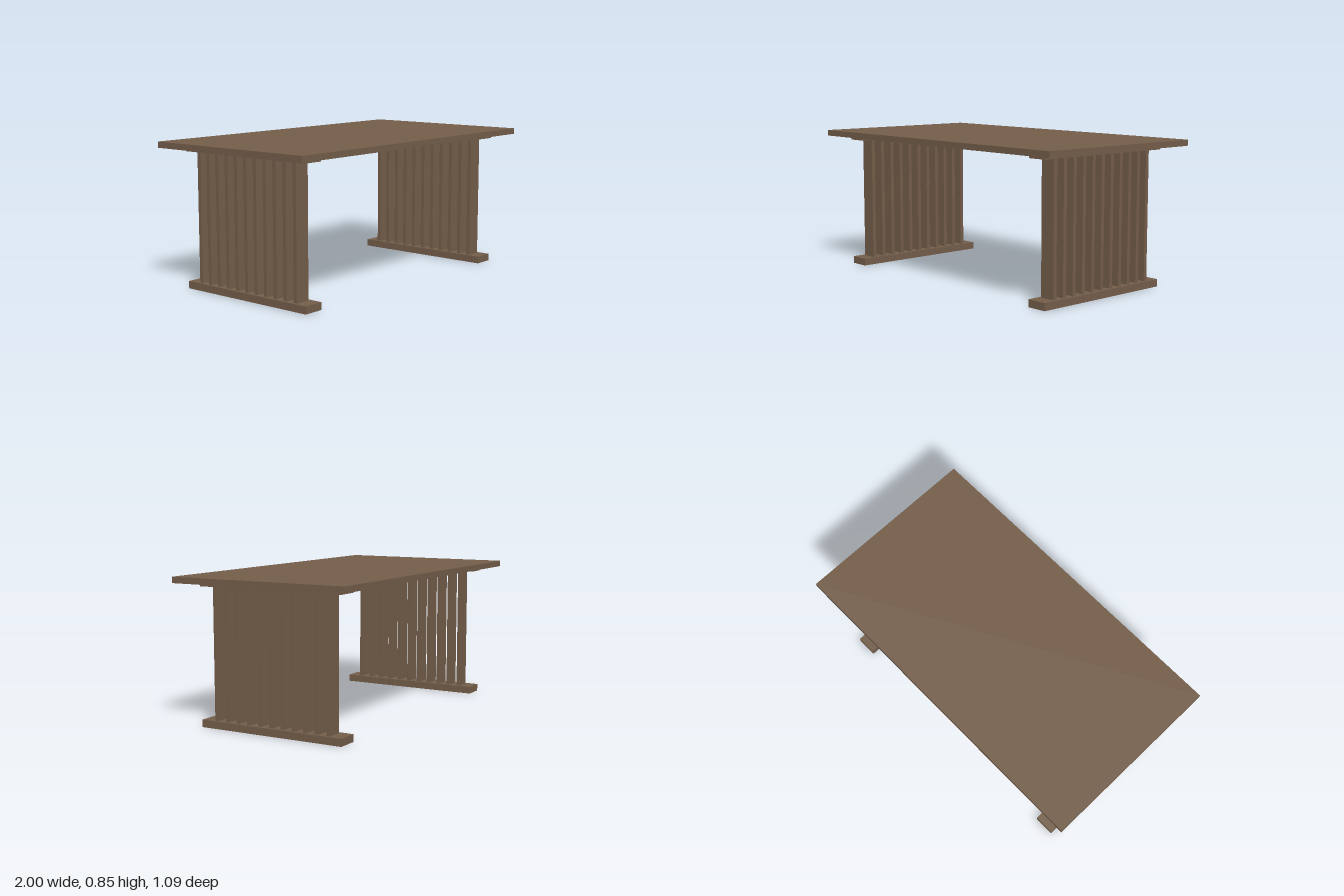
import * as THREE from 'three';

export function createModel() {
  const wood = new THREE.MeshStandardMaterial({ color: 0x735d49 });
  wood.name = 'brown wood';

  const table = new THREE.Group();
  table.name = 'table';

  // Box spanning y0..y1, centred on x and z
  function board(name, parent, width, depth, y0, y1, x = 0, z = 0) {
    const mesh = new THREE.Mesh(new THREE.BoxGeometry(width, y1 - y0, depth), wood);
    mesh.name = name;
    mesh.position.set(x, (y0 + y1) / 2, z);
    parent.add(mesh);
  }

  // Tabletop panel with a rim that leaves a shallow recess underneath
  const halfX = 1, halfZ = 0.545, rim = 0.06;
  const bottom = 0.815, ceiling = 0.83, top = 0.85;
  board('tabletop', table, 2 * halfX, 2 * halfZ, ceiling, top);

  const rectangle = (shape, x, z) =>
    shape.moveTo(-x, -z).lineTo(x, -z).lineTo(x, z).lineTo(-x, z).closePath();
  const outline = rectangle(new THREE.Shape(), halfX, halfZ);
  outline.holes.push(rectangle(new THREE.Path(), halfX - rim, halfZ - rim));
  const rimGeometry = new THREE.ExtrudeGeometry(outline, { depth: ceiling - bottom, bevelEnabled: false });
  rimGeometry.rotateX(-Math.PI / 2).translate(0, bottom, 0);
  const rimMesh = new THREE.Mesh(rimGeometry, wood);
  rimMesh.name = 'tabletopRim';
  table.add(rimMesh);

  // Slatted leg at each end: foot, row of slats and top rail
  const slats = 11, spacing = 0.0725;
  for (const side of [-1, 1]) {
    const leg = new THREE.Group();
    leg.name = side > 0 ? 'leftLeg' : 'rightLeg';
    leg.position.x = side * 0.815;
    board('foot', leg, 0.123, 0.904, 0, 0.043);
    board('topRail', leg, 0.123, 0.904, 0.792, ceiling);
    for (let i = 0; i < slats; i++) {
      board('slat', leg, 0.092, 0.023, 0.043, 0.792, 0, (i - (slats - 1) / 2) * spacing);
    }
    table.add(leg);
  }
  return table;
}
